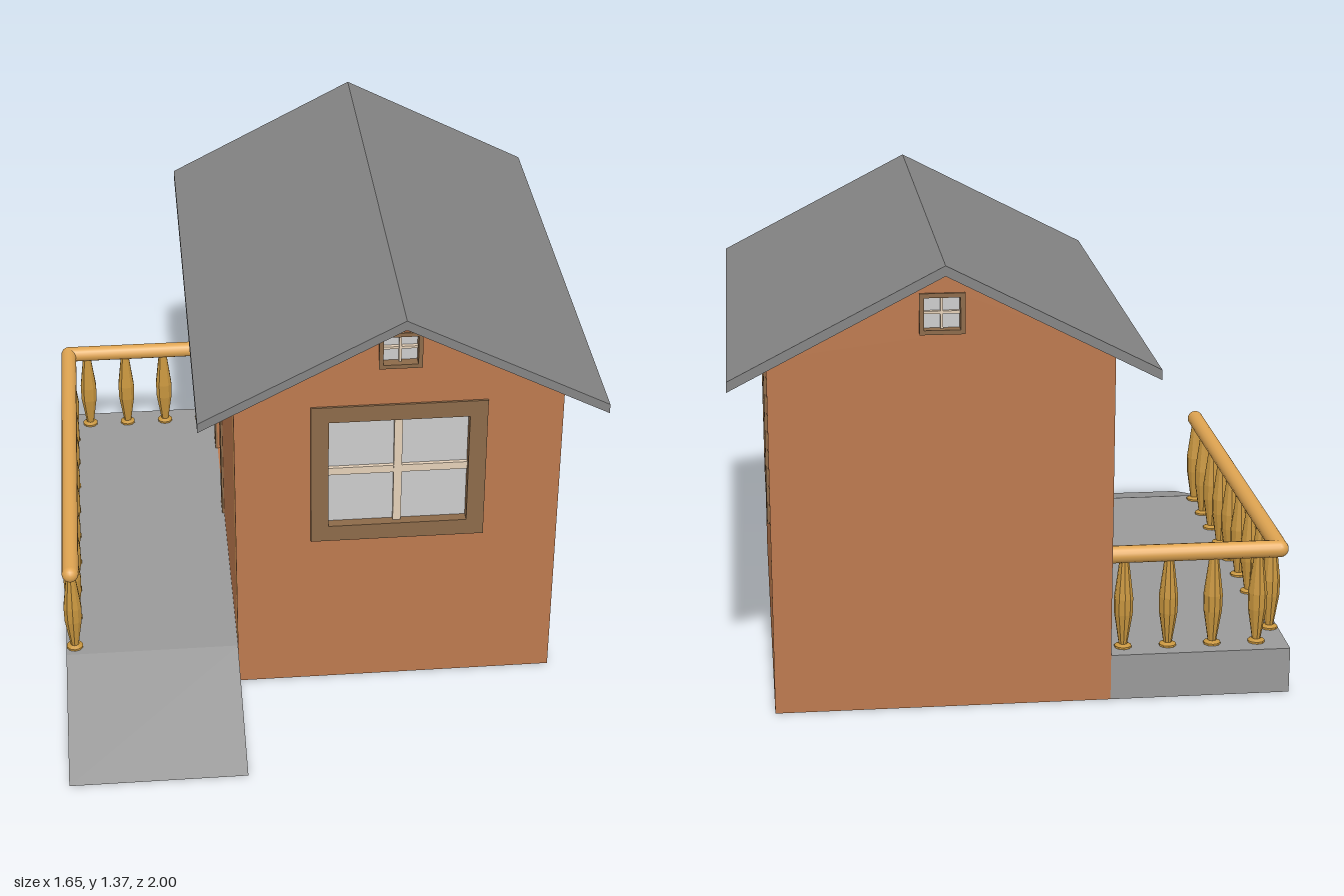
import * as THREE from 'three';

const mat = (color, extra = {}) => new THREE.MeshStandardMaterial({ color, ...extra });
const M = {
  wall: mat(0xbc794e), inner: mat(0xd8a458), floor: mat(0x6a4a30), trim: mat(0x8c6a49),
  bar: mat(0xe4d0b8), glass: mat(0xcccccc), roof: mat(0x848484),
  deck: mat(0x999999, { side: THREE.DoubleSide }),
  rail: mat(0xe0a552), baluster: mat(0xc8963f, { flatShading: true }), panel: mat(0xb08a60),
};

function add(parent, name, geometry, material, x = 0, y = 0, z = 0) {
  const mesh = new THREE.Mesh(geometry, material);
  mesh.name = name;
  mesh.position.set(x, y, z);
  parent.add(mesh);
  return mesh;
}

const box = (parent, name, material, x0, x1, y0, y1, z0, z1) =>
  add(parent, name, new THREE.BoxGeometry(x1 - x0, y1 - y0, z1 - z0), material,
    (x0 + x1) / 2, (y0 + y1) / 2, (z0 + z1) / 2);

const polygon = (pts) => new THREE.Shape(pts.map(([x, y]) => new THREE.Vector2(x, y)));
const rect = ({ x0, x1, y0, y1 }, grow = 0) => polygon([
  [x0 - grow, y0 - grow], [x1 + grow, y0 - grow], [x1 + grow, y1 + grow], [x0 - grow, y1 + grow]]);
const extrude = (shape, depth) => new THREE.ExtrudeGeometry(shape, { depth, bevelEnabled: false });

const HALF_W = 0.4975, HALF_D = 0.71, T = 0.05;

// Frame lining an opening and standing slightly proud of the wall
function addFrame(wall, name, o) {
  const shape = rect(o, o.frame);
  shape.holes.push(rect(o));
  add(wall, name, extrude(shape, T + 0.012), M.trim, 0, 0, -T - 0.005);
}

function addWindow(wall, o) {
  const cx = (o.x0 + o.x1) / 2, cy = (o.y0 + o.y1) / 2, b = o.bar / 2;
  addFrame(wall, 'windowFrame', o);
  box(wall, 'windowPane', M.glass, o.x0, o.x1, o.y0, o.y1, -0.035, -0.025);
  box(wall, 'windowBarVertical', M.bar, cx - b, cx + b, o.y0, o.y1, -0.04, -0.012);
  box(wall, 'windowBarHorizontal', M.bar, o.x0, o.x1, cy - b, cy + b, -0.039, -0.013);
}

// Wall of two layers; local +z faces outward, z = 0 is the outer surface
function addWall(house, name, outline, turn, distance, windows, door) {
  const wall = new THREE.Group();
  wall.name = name;
  wall.rotation.y = turn;
  wall.position.set(Math.sin(turn) * distance, 0, Math.cos(turn) * distance);
  house.add(wall);
  const shape = polygon(outline);
  for (const o of windows) shape.holes.push(rect(o, o.frame / 2));
  if (door) shape.holes.push(rect(door));
  add(wall, name + 'Cladding', extrude(shape, 0.02), M.wall, 0, 0, -0.02);
  add(wall, name + 'Lining', extrude(shape, T - 0.02), M.inner, 0, 0, -T);
  windows.forEach((o) => addWindow(wall, o));
  return wall;
}

function createHouse() {
  const house = new THREE.Group();
  house.name = 'house';
  house.position.set(0.2125, 0, -0.17);

  const gable = [[-HALF_W, 0], [HALF_W, 0], [HALF_W, 1.078], [0, 1.335], [-HALF_W, 1.078]];
  const s = HALF_D - T;
  const side = [[-s, 0], [s, 0], [s, 1.078], [-s, 1.078]];
  const big = (c) => ({ x0: c - 0.213, x1: c + 0.213, y0: 0.585, y1: 0.96, frame: 0.054, bar: 0.025 });
  const vent = { x0: -0.052, x1: 0.052, y0: 1.152, y1: 1.246, frame: 0.013, bar: 0.008 };
  const door = { x0: -0.44, x1: -0.1, y0: 0.14, y1: 0.925 };

  addWall(house, 'frontWall', gable, 0, HALF_D, [big(0), vent]);
  addWall(house, 'backWall', gable, Math.PI, HALF_D, [vent]);
  addWall(house, 'leftWall', side, Math.PI / 2, HALF_W, [big(0.2775)]);
  const doorWall = addWall(house, 'rightWall', side, -Math.PI / 2, HALF_W, [], door);

  // Door casing: two jambs and a head
  const { x0, x1, y0, y1 } = door;
  box(doorWall, 'doorJamb', M.trim, x0 - 0.07, x0, y0, y1 + 0.06, -T, 0.007);
  box(doorWall, 'doorJamb', M.trim, x1, x1 + 0.07, y0, y1 + 0.06, -T, 0.007);
  box(doorWall, 'doorHead', M.trim, x0, x1, y1, y1 + 0.06, -T, 0.007);

  box(house, 'floor', M.floor, -HALF_W + T, HALF_W - T, 0.09, 0.14, -s, s);

  // Roof: one chevron run along z
  const roof = polygon([[-0.61, 1.02], [0, 1.335], [0.61, 1.02], [0.61, 1.05], [0, 1.365], [-0.61, 1.05]]);
  add(house, 'roof', extrude(roof, 1.66), M.roof, 0, 0, -0.83);

  // Sink unit in the front left corner
  box(house, 'cabinet', M.wall, -0.05, 0.44, 0.14, 0.31, 0.1, s);
  for (const z of [0.12, 0.39]) box(house, 'cabinetDoor', M.panel, -0.06, -0.05, 0.16, 0.28, z, z + 0.24);
  const top = rect({ x0: -0.07, x1: 0.44, y0: -s, y1: -0.08 });
  top.holes.push(rect({ x0: 0.03, x1: 0.33, y0: -0.54, y1: -0.2 }));
  add(house, 'worktop', extrude(top, 0.03), M.glass, 0, 0.315, 0).rotation.x = -Math.PI / 2;
  box(house, 'sinkBase', M.glass, 0.02, 0.34, 0.31, 0.318, 0.19, 0.55);
  return house;
}

// Deck and ramp: a shell open underneath
function createDeck() {
  const deck = new THREE.Group();
  deck.name = 'deckAndRamp';
  const x0 = -0.825, x1 = -0.285;
  const profile = [[-0.88, 0], [-0.88, 0.14], [0.54, 0.14], [1, 0]];
  const pos = [], index = [];
  profile.forEach(([z, y], i) => {
    pos.push(x0, y, z, x1, y, z);
    if (i) { const a = 2 * i - 2; index.push(a, a + 2, a + 1, a + 1, a + 2, a + 3); }
  });
  let geo = new THREE.BufferGeometry();
  geo.setAttribute('position', new THREE.Float32BufferAttribute(pos, 3));
  geo.setIndex(index);
  geo = geo.toNonIndexed();
  geo.computeVertexNormals();
  add(deck, 'deckTop', geo, M.deck);
  const cheek = new THREE.ShapeGeometry(polygon(profile.map(([z, y]) => [-z, y])));
  for (const x of [x0, x1]) add(deck, 'deckSide', cheek, M.deck, x).rotation.y = Math.PI / 2;
  return deck;
}

function createRailing() {
  const railing = new THREE.Group();
  railing.name = 'railing';
  const R = 0.026, Y = 0.434, X = -0.798, Z = -0.815;
  // Handrail with a rounded corner and end
  const long = add(railing, 'longHandrail', new THREE.CylinderGeometry(R, R, 0.515 - Z, 16), M.rail, X, Y, (0.515 + Z) / 2);
  long.rotation.x = Math.PI / 2;
  const back = add(railing, 'backHandrail', new THREE.CylinderGeometry(R, R, -0.285 - X, 16), M.rail, (X - 0.285) / 2, Y, Z);
  back.rotation.z = Math.PI / 2;
  const ball = new THREE.SphereGeometry(R, 16, 12);
  for (const z of [Z, 0.515]) add(railing, 'handrailCap', ball, M.rail, X, Y, z);

  // Turned balusters
  const profile = [[0, 0], [0.026, 0], [0.026, 0.008], [0.013, 0.014], [0.028, 0.11], [0.029, 0.16], [0.014, 0.28]];
  const baluster = new THREE.LatheGeometry(profile.map(([r, y]) => new THREE.Vector2(r, y)), 10);
  for (let i = 0; i < 9; i++) add(railing, 'baluster', baluster, M.baluster, X, 0.138, -0.71 + i * 0.151);
  for (let i = 0; i < 4; i++) add(railing, 'baluster', baluster, M.baluster, -0.735 + i * 0.135, 0.138, Z);
  return railing;
}

export function createModel() {
  const model = new THREE.Group();
  model.name = 'playhouse';
  model.add(createHouse(), createDeck(), createRailing());
  return model;
}
